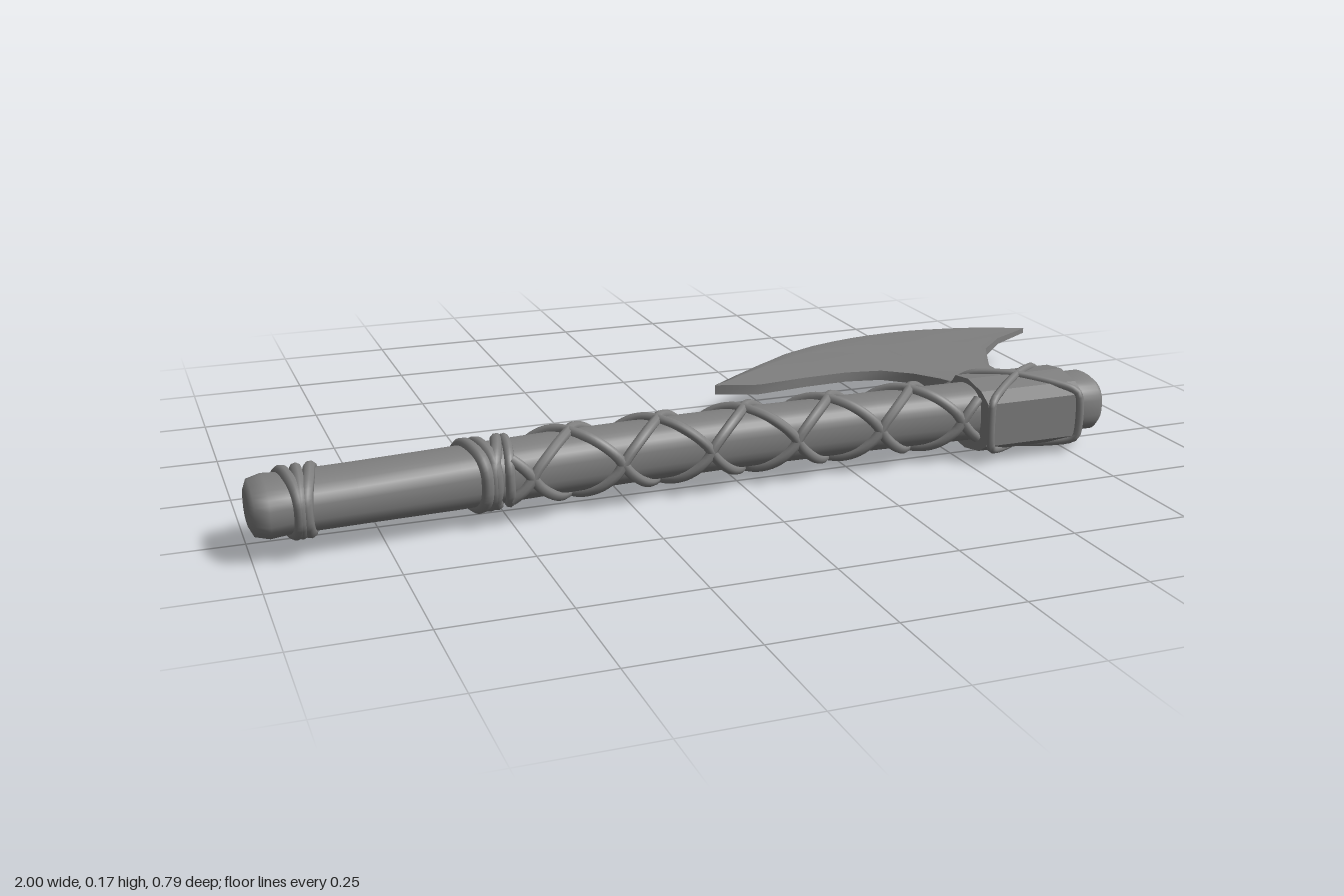
import * as THREE from 'three';

const V = (x, y, z) => new THREE.Vector3(x, y, z);

// Linear lookup in a table of [key, value, value...] rows
function lookup(table, k) {
  let i = 0;
  while (i < table.length - 2 && k > table[i + 1][0]) i++;
  const a = table[i], b = table[i + 1];
  const t = THREE.MathUtils.clamp((k - a[0]) / (b[0] - a[0]), 0, 1);
  return a.map((v, j) => v + (b[j] - v) * t);
}

// Skin a list of equal-length point rows
function skin(rows, closed = false, flip = false) {
  const n = rows[0].length, index = [];
  for (let i = 0; i < rows.length - 1; i++) {
    for (let j = 0; j < (closed ? n : n - 1); j++) {
      const a = i * n + j, b = i * n + (j + 1) % n, c = a + n, d = b + n;
      if (flip) index.push(a, b, c, b, d, c);
      else index.push(a, c, b, b, c, d);
    }
  }
  const g = new THREE.BufferGeometry().setFromPoints(rows.flat());
  g.setIndex(index);
  g.computeVertexNormals();
  return g;
}

// Handle profile: x, centre z, half depth, half height
const HANDLE = [
  [-1, 0.306, 0.05, 0.032], [-0.992, 0.306, 0.074, 0.048], [-0.965, 0.306, 0.082, 0.055],
  [-0.93, 0.303, 0.077, 0.053], [-0.8, 0.295, 0.075, 0.054], [-0.6, 0.281, 0.069, 0.058],
  [-0.4, 0.262, 0.067, 0.059], [-0.2, 0.25, 0.065, 0.059], [0, 0.244, 0.064, 0.059],
  [0.3, 0.243, 0.063, 0.059], [0.55, 0.25, 0.065, 0.06], [0.77, 0.263, 0.071, 0.062],
  [0.815, 0.263, 0.071, 0.062], [0.829, 0.263, 0.06, 0.051], [0.835, 0.263, 0.045, 0.036],
];
const HANDLE_Y = 0.095;

// Point on the rounded-square handle surface
function onHandle(x, angle, lift = 0) {
  const [, zc, rz, ry] = lookup(HANDLE, x);
  const soft = v => Math.sign(v) * Math.abs(v) ** 0.8;
  return V(x, HANDLE_Y + (ry + lift) * soft(Math.sin(angle)), zc + (rz + lift) * soft(Math.cos(angle)));
}

// Socket outline as z, y
const SOCKET = [
  [0.17, 0.05], [0.17, 0.13], [0.195, 0.16], [0.25, 0.167], [0.31, 0.155],
  [0.343, 0.135], [0.343, 0.042], [0.31, 0.022], [0.25, 0.011], [0.195, 0.018],
];

// Blade inner outline from heel round the neck to toe: x, z, matching fraction of cutting edge
const INNER = [
  [0.085, -0.097, 0], [0.18, -0.065, 0.1], [0.3, -0.08, 0.22], [0.406, -0.085, 0.33],
  [0.487, -0.07, 0.43], [0.545, -0.02, 0.5], [0.583, 0.04, 0.55], [0.592, 0.14, 0.58],
  [0.592, 0.19, 0.6], [0.736, 0.19, 0.66], [0.732, 0.14, 0.68], [0.733, 0.085, 0.7],
  [0.743, -0.02, 0.74], [0.81, -0.155, 0.82], [0.89, -0.235, 0.9], [1, -0.3, 1],
];
const EDGE = [
  [0.085, -0.097], [0.2, -0.2], [0.33, -0.3], [0.45, -0.357], [0.58, -0.39],
  [0.7, -0.4], [0.8, -0.39], [0.88, -0.37], [0.95, -0.335], [1, -0.3],
];
// Blade half thickness by z
const THICK = [
  [-0.4, 0.004], [-0.3, 0.006], [-0.15, 0.01], [0.05, 0.013],
  [0.1, 0.018], [0.15, 0.026], [0.19, 0.037],
];

export function createModel() {
  const group = new THREE.Group();
  const grey = new THREE.MeshStandardMaterial({ color: 0x808080 });
  grey.name = 'grey';
  const add = (name, geometry) => {
    const mesh = new THREE.Mesh(geometry, grey);
    mesh.name = name;
    group.add(mesh);
  };
  const cord = (name, points, radius, closed) => {
    const curve = new THREE.CatmullRomCurve3(points, closed, 'catmullrom', closed ? 0.35 : 0.5);
    add(name, new THREE.TubeGeometry(curve, closed ? 64 : 160, radius, 8, closed));
  };

  // Handle, with closed ends
  const sides = 32;
  const rows = HANDLE.map(([x]) =>
    Array.from({ length: sides }, (_, j) => onHandle(x, j / sides * Math.PI * 2)));
  const endCap = (x, z) => Array.from({ length: sides }, () => V(x, HANDLE_Y, z));
  add('handle', skin([endCap(-1, 0.306), ...rows, endCap(0.835, 0.263)], true));

  // Grip lacing: two pairs of opposed spirals
  for (const hand of [1, -1]) {
    for (const start of [0, Math.PI]) {
      const points = [];
      for (let i = 0; i <= 80; i++) {
        const x = -0.5 + 1.03 * i / 80;
        points.push(onHandle(x, start + hand * (x - 0.11) / 0.38 * Math.PI * 2, 0.003));
      }
      cord('gripLacing', points, 0.011, false);
    }
  }

  // Bands round the handle: centre x, slant, radius
  for (const [x, slant, radius] of [
    [-0.922, 0.012, 0.012], [-0.902, -0.006, 0.012], [-0.88, -0.018, 0.012],
    [-0.568, 0.018, 0.013], [-0.545, 0.014, 0.012], [-0.515, -0.022, 0.012], [-0.495, -0.01, 0.01],
  ]) {
    const points = [];
    for (let j = 0; j < 32; j++) {
      const a = j / 32 * Math.PI * 2;
      points.push(onHandle(x + slant * Math.cos(a), a, 0.001));
    }
    cord('handleBand', points, radius, true);
  }

  // Faceted socket that holds the blade
  const outline = new THREE.Shape(SOCKET.map(([z, y]) => new THREE.Vector2(-z, y)));
  const socket = new THREE.ExtrudeGeometry(outline, { depth: 0.23, bevelEnabled: false });
  socket.rotateY(Math.PI / 2).translate(0.535, 0, 0);
  add('socket', socket);

  // Crossed lashings over the socket
  for (const s of [1, -1]) {
    const points = SOCKET.map(([z, y]) => V(0.65 + s * 0.105 * (z - 0.256) / 0.087, y, z));
    cord('socketLashing', points, 0.009, true);
  }

  // Blade: two faces meeting at the cutting edge, closed by a wall along the inner outline
  const edge = new THREE.CatmullRomCurve3(EDGE.map(([x, z]) => V(x, 0, z)));
  const bladeRow = (v, side) => INNER.map(([x, z, u]) => {
    const p = V(x, 0, z).lerp(edge.getPointAt(u), v);
    p.y = 0.09 + (v === 1 ? 0 : side * lookup(THICK, p.z)[1]);
    return p;
  });
  const steps = [0, 0.08, 0.15, 0.25, 0.4, 0.6, 0.8, 0.92, 1];
  add('bladeTop', skin(steps.map(v => bladeRow(v, 1)), false, true));
  add('bladeBottom', skin(steps.map(v => bladeRow(v, -1))));
  add('bladeWall', skin([bladeRow(0, 1), bladeRow(0, -1)]));

  return group;
}
